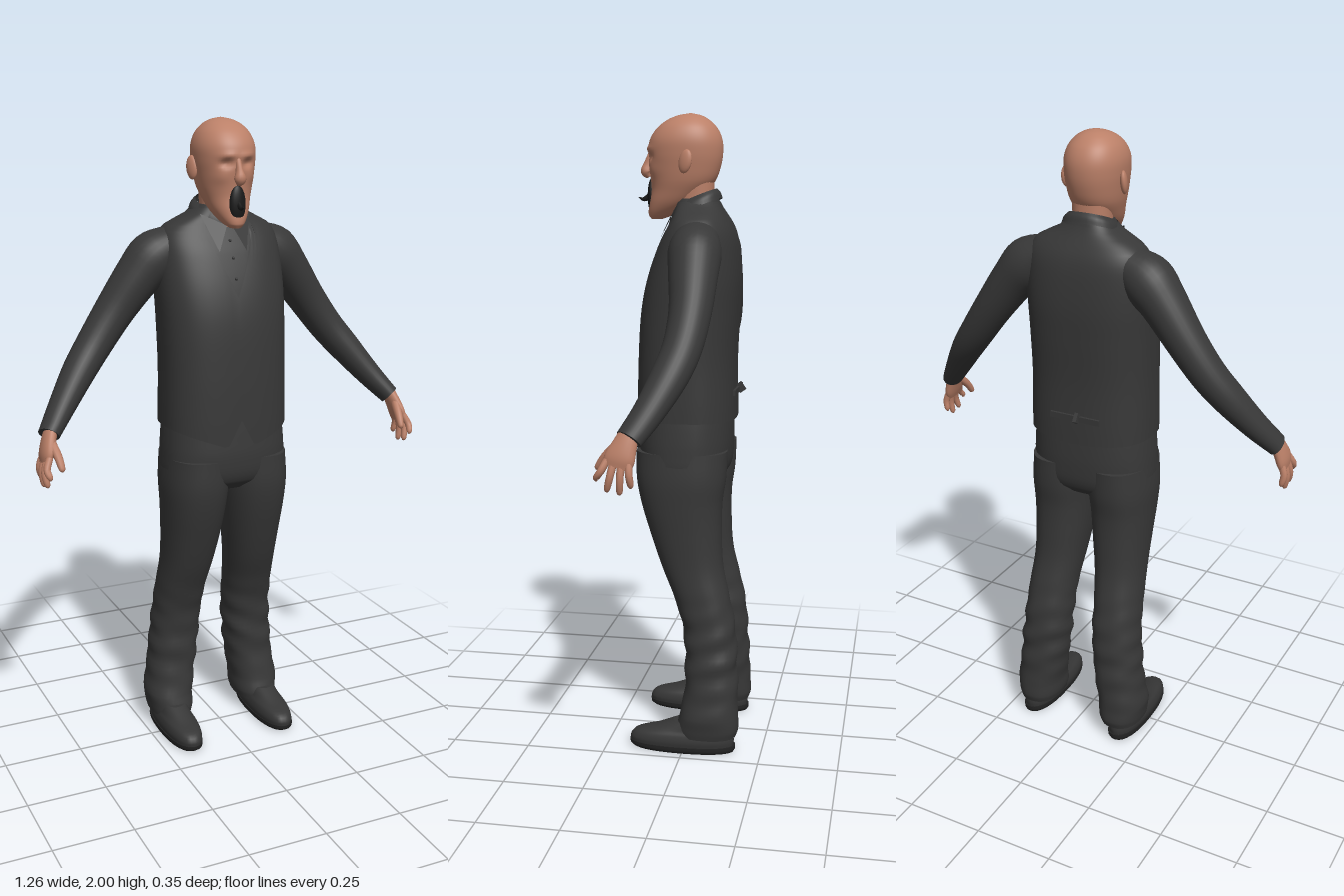
import * as THREE from 'three';

const mat = (name, color) => {
  const m = new THREE.MeshStandardMaterial({ color, side: THREE.DoubleSide });
  m.name = name;
  return m;
};

// Smooth interpolation of rows [key, ...values] at key k
function at(rows, k) {
  const n = rows.length;
  let i = 0;
  while (i < n - 2 && k > rows[i + 1][0]) i++;
  const a = rows[i], b = rows[i + 1], p = rows[Math.max(i - 1, 0)], q = rows[Math.min(i + 2, n - 1)];
  const h = b[0] - a[0], t = THREE.MathUtils.clamp((k - a[0]) / h, 0, 1), t2 = t * t, t3 = t2 * t;
  return a.map((v, c) => {
    const ma = (b[c] - p[c]) / (b[0] - p[0]) * h, mb = (q[c] - v) / (q[0] - a[0]) * h;
    return (2 * t3 - 3 * t2 + 1) * v + (t3 - 2 * t2 + t) * ma + (3 * t2 - 2 * t3) * b[c] + (t3 - t2) * mb;
  });
}

// Keys of the rows with extra steps in between
function steps(rows, sub) {
  const out = [];
  for (let i = 0; i < rows.length - 1; i++)
    for (let s = 0; s < sub; s++) out.push(THREE.MathUtils.lerp(rows[i][0], rows[i + 1][0], s / sub));
  return [...out, rows[rows.length - 1][0]];
}

// Skin a list of closed rings, with optional flat end caps
function skin(rings, caps = true) {
  const n = rings[0].length, pos = [], idx = [];
  rings.forEach(r => r.forEach(p => pos.push(p.x, p.y, p.z)));
  for (let i = 0; i < rings.length - 1; i++)
    for (let j = 0; j < n; j++) {
      const k = (j + 1) % n, a = i * n + j, b = i * n + k, c = a + n, d = b + n;
      idx.push(a, c, b, b, c, d);
    }
  if (caps) [rings[0], rings[rings.length - 1]].forEach((r, e) => {
    const base = pos.length / 3, mid = new THREE.Vector3();
    r.forEach(p => { pos.push(p.x, p.y, p.z); mid.addScaledVector(p, 1 / n); });
    pos.push(mid.x, mid.y, mid.z);
    for (let j = 0; j < n; j++) {
      const k = (j + 1) % n;
      idx.push(base + n, base + (e ? k : j), base + (e ? j : k));
    }
  });
  const g = new THREE.BufferGeometry();
  g.setAttribute('position', new THREE.Float32BufferAttribute(pos, 3));
  g.setIndex(idx);
  g.computeVertexNormals();
  return g;
}

const pow = (v, e) => Math.sign(v) * Math.abs(v) ** (2 / e);

// Point on a level cross-section [y, x0, x1, z0, z1]
function levelPoint([y, x0, x1, z0, z1], th, e, grow = 1) {
  return new THREE.Vector3((x0 + x1) / 2 + pow(Math.cos(th), e) * (x1 - x0) / 2 * grow, y,
    (z0 + z1) / 2 + pow(Math.sin(th), e) * (z1 - z0) / 2 * grow);
}

// Upright body from level cross-sections
function upright(rows, { n = 32, e = 2.3, sub = 4, grow = 1, caps = true, warp = null } = {}) {
  return skin(steps(rows, sub).map(k => {
    const row = at(rows, k);
    return Array.from({ length: n }, (_, j) => {
      const p = levelPoint(row, j / n * Math.PI * 2, e, grow);
      if (warp) warp(p);
      return p;
    });
  }), caps);
}

// Limb along a path of rows [x, y, z, radiusA, radiusB]
function limb(path, side = 1, n = 16, sub = 4, ref = new THREE.Vector3(0, 0, 1)) {
  const rows = path.map((r, i) => [i, r[0] * side, ...r.slice(1)]);
  const last = rows.length - 1;
  const point = k => new THREE.Vector3(...at(rows, k).slice(1, 4));
  return skin(steps(rows, sub).map(k => {
    const c = point(k), [, , , , a, b] = at(rows, k);
    const d = point(Math.min(k + 0.1, last)).sub(point(Math.max(k - 0.1, 0))).normalize();
    const u = d.clone().cross(ref).normalize(), v = u.clone().cross(d);
    return Array.from({ length: n }, (_, j) => {
      const th = j / n * Math.PI * 2;
      return c.clone().addScaledVector(u, a * Math.cos(th)).addScaledVector(v, b * Math.sin(th));
    });
  }));
}

const mirrorRow = (r, s) => s > 0 ? r : [r[0], -r[2], -r[1], r[3], r[4]];
const sym = rows => rows.map(([y, x, z0, z1]) => [y, -x, x, z0, z1]);

export function createModel() {
  const model = new THREE.Group();
  const skinTone = mat('skin', 0xbb8068), cloth = mat('charcoal cloth', 0x383838);
  const hair = mat('black hair', 0x191919), leather = mat('shoe leather', 0x363636), soleMat = mat('dark sole', 0x222222);
  const add = (name, geo, m, parent = model) => {
    const mesh = new THREE.Mesh(geo, m);
    mesh.name = name;
    parent.add(mesh);
    return mesh;
  };

  // Shirt body under the waistcoat
  const torso = sym([[1.0, .2, -.14, .167], [1.1, .2, -.14, .168], [1.25, .198, -.138, .165], [1.4, .2, -.145, .155],
    [1.5, .202, -.148, .135], [1.6, .198, -.14, .1], [1.65, .19, -.128, .075], [1.685, .165, -.11, .056],
    [1.72, .095, -.09, .05], [1.745, .07, -.08, .045]]);
  add('shirt', upright(torso.slice(1), { e: 2.6, grow: 0.97, n: 48 }), cloth);

  // Waistcoat shell with pointed hem and V neck
  const N = 96, M = 40, rings = [];
  for (let i = 0; i <= M; i++) rings.push(Array.from({ length: N }, (_, j) => {
    const th = j / N * Math.PI * 2, c = Math.abs(pow(Math.cos(th), 2.6)), front = Math.sin(th) > 0;
    const x = c * 0.2;
    const hem = !front ? 1.06 + 0.01 * c : x < 0.045 ? 1.1 - x / 0.045 * 0.085 : 1.015 + (x - 0.045) / 0.155 * 0.055;
    const top = front ? Math.min(1.735, 1.48 + c / 0.55 * 0.255) : 1.735;
    return levelPoint(at(torso, THREE.MathUtils.lerp(hem, top, i / M)), th, 2.6);
  }));
  add('waistcoat', skin(rings, false), cloth);

  // Back cinch strap with loose end
  add('backStrap', new THREE.BoxGeometry(.17, .018, .008), cloth).position.set(-.01, 1.15, -.143);
  const tail = add('strapEnd', new THREE.BoxGeometry(.012, .03, .022), cloth);
  tail.position.set(-.02, 1.155, -.15);
  tail.rotation.x = 0.6;

  // Collar band, collar points and shirt buttons
  const collar = sym([[1.71, .09, -.09, .066], [1.73, .082, -.084, .06], [1.745, .068, -.074, .052]]);
  add('collar', upright(collar, { caps: false, warp: p => { p.y -= p.z * 0.4; } }), cloth);
  for (const s of [1, -1]) {
    const flap = new THREE.BufferGeometry();
    flap.setAttribute('position', new THREE.Float32BufferAttribute(
      [.008 * s, 1.685, .073, .045 * s, 1.61, .102, .082 * s, 1.72, .038], 3));
    flap.setIndex(s > 0 ? [0, 1, 2] : [0, 2, 1]);
    flap.computeVertexNormals();
    add('collarPoint', flap, cloth);
  }
  for (const y of [1.53, 1.59, 1.64])
    add('shirtButton', new THREE.SphereGeometry(.005, 8, 6), cloth).position.set(0, y, at(torso, y)[4] - .003);

  // Neck and head, with eye sockets and brow pressed into the face
  add('neck', upright(sym([[1.62, .065, -.07, .06], [1.7, .058, -.065, .055], [1.8, .06, -.065, .05]])), skinTone);
  const head = sym([[1.682, .016, .095, .132], [1.695, .032, .06, .14], [1.73, .055, 0, .137], [1.77, .07, -.045, .13],
    [1.8, .079, -.07, .131], [1.84, .086, -.085, .136], [1.88, .091, -.092, .139], [1.92, .091, -.09, .134],
    [1.955, .079, -.075, .112], [1.98, .057, -.05, .08], [1.994, .031, -.024, .045], [2, .003, .004, .012]]);
  add('head', upright(head, {
    n: 64, e: 2.15, sub: 6, warp: p => {
      if (p.z < 0.05) return;
      const bump = (x, y, rx, ry) => Math.exp(-(((Math.abs(p.x) - x) / rx) ** 2) - ((p.y - y) / ry) ** 2);
      p.z += -0.014 * bump(.034, 1.87, .018, .012) + 0.006 * bump(.03, 1.893, .025, .009) + 0.004 * bump(.05, 1.83, .02, .02);
    },
  }), skinTone);
  add('nose', limb([[0, 1.885, .131, .008, .008], [0, 1.85, .141, .011, .014], [0, 1.826, .147, .018, .018],
    [0, 1.81, .139, .008, .008]]), skinTone);
  for (const s of [1, -1]) {
    const ear = add('ear', new THREE.SphereGeometry(1, 16, 12), skinTone);
    ear.scale.set(.011, .036, .022);
    ear.position.set(.094 * s, 1.855, .008);
    ear.rotation.set(-.2, -.35 * s, 0);
  }

  // Goatee and its curled tip
  const goatee = add('goatee', new THREE.SphereGeometry(1, 20, 16), hair);
  goatee.scale.set(.026, .056, .014);
  goatee.position.set(0, 1.752, .129);
  add('goateeCurl', limb([[0, 1.755, .13, .012, .008], [0, 1.742, .155, .007, .005], [0, 1.748, .173, .001, .001]],
    1, 8, 4, new THREE.Vector3(1, 0, 0)), hair);

  // Hips joining both trouser legs
  add('hips', upright(sym([[.865, .16, -.085, .11], [.9, .196, -.118, .15], [.97, .2, -.128, .163],
    [1.04, .196, -.128, .16], [1.1, .19, -.125, .155]]), { e: 2.5, n: 40 }), cloth);

  for (const s of [1, -1]) {
    const side = s > 0 ? 'left' : 'right';

    // Trouser leg with soft folds below the knee
    const leg = [[.05, .09, .225, -.168, .025], [.075, .083, .23, -.175, .025], [.12, .08, .235, -.172, .014],
      [.2, .068, .224, -.17, 0], [.3, .056, .215, -.165, 0], [.4, .049, .206, -.158, .008], [.5, .044, .2, -.138, .038],
      [.6, .032, .194, -.116, .08], [.7, .018, .196, -.11, .115], [.8, .007, .201, -.111, .145],
      [.88, 0, .204, -.122, .16], [.97, 0, .198, -.126, .161]].map(r => mirrorRow(r, s));
    add(side + 'TrouserLeg', upright(leg, {
      sub: 6, warp: p => {
        const fold = Math.max(0, 1 - Math.abs(p.y - .3) / .24) * .004;
        p.x += s * fold * Math.sin(p.y * 75 + p.z * 18);
        p.z += fold * Math.sin(p.y * 62 + p.x * 25);
      },
    }), cloth);

    // Shoe and sole
    const shoe = [[.018, .11, .22, -.16, .175], [.035, .108, .222, -.162, .175], [.055, .112, .218, -.16, .155],
      [.07, .118, .212, -.155, .1], [.095, .122, .208, -.15, .035]].map(r => mirrorRow(r, s));
    add(side + 'Shoe', upright(shoe), leather);
    const sole = [[0, .112, .22, -.162, .165], [.008, .107, .224, -.166, .176], [.02, .107, .224, -.166, .178]];
    add(side + 'Sole', upright(sole.map(r => mirrorRow(r, s))), soleMat);

    // Sleeve
    add(side + 'Sleeve', limb([[.14, 1.63, -.035, .058, .068], [.2, 1.588, -.04, .081, .08], [.255, 1.53, -.045, .071, .074],
      [.33, 1.43, -.05, .061, .063], [.4, 1.335, -.04, .055, .058], [.46, 1.26, -.015, .05, .055],
      [.53, 1.17, .03, .04, .046], [.587, 1.1, .075, .031, .04]], s, 28), cloth);

    // Hand: palm, four fingers and thumb
    const hand = new THREE.Group();
    hand.name = side + 'Hand';
    model.add(hand);
    add('palm', limb([[.575, 1.13, .07, .019, .026], [.592, 1.085, .086, .02, .036], [.603, 1.05, .098, .019, .044],
      [.608, 1.025, .106, .014, .04]], s, 20), skinTone, hand);
    [[.134, .163, .985], [.114, .132, .955], [.093, .097, .948], [.073, .066, .968]].forEach(([z0, z1, y]) =>
      add('finger', limb([[.605, 1.045, z0, .011, .011], [.618, (1.045 + y) / 2, (z0 + z1) / 2, .011, .0105],
        [.614, y + .01, z1, .009, .009], [.612, y, z1, .003, .003]], s, 10), skinTone, hand));
    add('thumb', limb([[.59, 1.085, .105, .014, .015], [.582, 1.05, .143, .013, .013], [.578, 1.018, .166, .01, .01],
      [.577, 1.01, .171, .003, .003]], s, 10), skinTone, hand);
  }
  return model;
}
